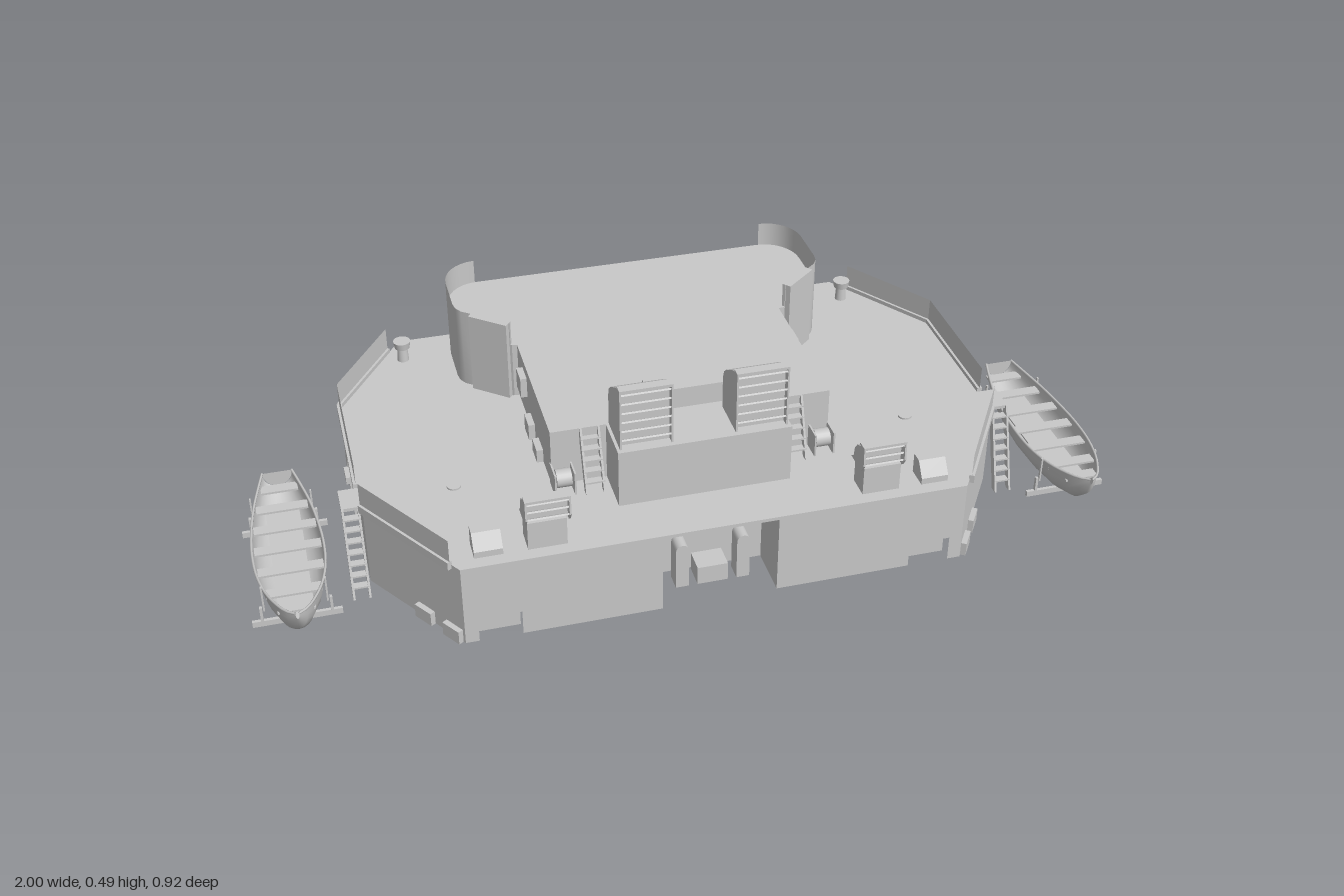
import * as THREE from 'three';

const grey = new THREE.MeshStandardMaterial({ color: 0xc8c8c8, side: THREE.DoubleSide });
grey.name = 'ship grey';

export function createModel() {
  const root = new THREE.Group();
  root.name = 'superstructure';

  const add = (name, geo, parent = root) => {
    const m = new THREE.Mesh(geo, grey);
    m.name = name;
    parent.add(m);
    return m;
  };
  // Box from its limits
  const box = (name, x0, x1, y0, y1, z0, z1, parent = root) => add(name,
    new THREE.BoxGeometry(x1 - x0, y1 - y0, z1 - z0).translate((x0 + x1) / 2, (y0 + y1) / 2, (z0 + z1) / 2), parent);
  // Upright plate between two plan points
  const plate = (name, [x0, z0], [x1, z1], y0, y1, t, parent) => {
    const m = add(name, new THREE.BoxGeometry(Math.hypot(x1 - x0, z1 - z0), y1 - y0, t), parent);
    m.position.set((x0 + x1) / 2, (y0 + y1) / 2, (z0 + z1) / 2);
    m.rotation.y = -Math.atan2(z1 - z0, x1 - x0);
    return m;
  };
  // Thin upright wall along a plan path, sharp or smooth at its corners
  const wall = (name, pts, y0, y1, parent = root, smooth = false) => {
    const indexed = new THREE.BufferGeometry(), idx = [];
    indexed.setAttribute('position', new THREE.Float32BufferAttribute(pts.flatMap(([x, z]) => [x, y0, z, x, y1, z]), 3));
    for (let i = 0; i + 1 < pts.length; i++) idx.push(2 * i, 2 * i + 1, 2 * i + 2, 2 * i + 2, 2 * i + 1, 2 * i + 3);
    indexed.setIndex(idx);
    const geo = smooth ? indexed : indexed.toNonIndexed();
    geo.computeVertexNormals();
    return add(name, geo, parent);
  };
  // Plan outline (x, z) raised from y0 to y1
  const slab = (name, pts, y0, y1) => {
    const s = new THREE.Shape(pts.map(([x, z]) => new THREE.Vector2(x, -z)));
    return add(name, new THREE.ExtrudeGeometry(s, { depth: y1 - y0, bevelEnabled: false })
      .rotateX(-Math.PI / 2).translate(0, y0, 0));
  };
  // Side profile (z, y) extruded between x0 and x1
  const profile = (name, pts, x0, x1, parent) => {
    const s = new THREE.Shape(pts.map(([z, y]) => new THREE.Vector2(-z, y)));
    return add(name, new THREE.ExtrudeGeometry(s, { depth: x1 - x0, bevelEnabled: false })
      .rotateY(Math.PI / 2).translate(x0, 0, 0), parent);
  };
  const cyl = (name, r0, r1, h, x, y, z, parent) =>
    add(name, new THREE.CylinderGeometry(r0, r1, h, 20).translate(x, y + h / 2, z), parent);

  // Inclined ladder leaning back from (z0, y0) to (z1, y1)
  const ladder = (name, x0, x1, z0, y0, z1, y1, parent) => {
    const g = new THREE.Group();
    g.name = name;
    parent.add(g);
    for (const x of [x0, x1 - 0.005])
      profile('ladderRail', [[z0 + 0.009, y0], [z0 - 0.009, y0], [z1 - 0.009, y1], [z1 + 0.009, y1]], x, x + 0.005, g);
    const n = Math.round((y1 - y0) / 0.024);
    for (let i = 1; i < n; i++) {
      const y = y0 + (y1 - y0) * i / n, z = z0 + (z1 - z0) * i / n;
      box('ladderStep', x0, x1, y - 0.002, y + 0.002, z - 0.009, z + 0.009, g);
    }
  };
  // Tilted slats across a front opening, showing their undersides
  const louvers = (x0, x1, y0, y1, z, n, parent) => {
    for (let i = 0; i < n; i++) {
      const m = add('louver', new THREE.BoxGeometry(x1 - x0, 0.004, 0.02), parent);
      m.position.set((x0 + x1) / 2, y0 + (y1 - y0) * (i + 0.5) / n, z);
      m.rotation.x = -0.6;
    }
  };

  // Main deck and open-bottomed lower house
  const half = [[0.565, -0.46], [0.735, -0.205], [0.735, 0.2], [0.565, 0.46]];
  const outline = [...half, ...half.map(([x, z]) => [-x, z]).reverse()];
  slab('mainDeck', outline, 0.192, 0.2);
  wall('backWall', [[-0.565, -0.46], [0.565, -0.46]], 0, 0.192);
  wall('recessBack', [[-0.13, 0.34], [0.13, 0.34]], 0, 0.192);
  // Inner bulkheads and floor beams
  wall('bulkhead', [[-0.68, -0.28], [0.68, -0.28]], 0, 0.192);
  wall('bulkhead', [[-0.4, -0.21], [0.4, -0.21]], 0, 0.192);
  for (const z of [-0.2, -0.1]) box('floorBeam', -0.73, 0.73, 0, 0.05, z - 0.004, z + 0.004);
  // Hatch, locker and vents in the front recess
  box('recessHatch', 0, 0.03, 0.105, 0.15, 0.342, 0.352);
  box('recessLocker', -0.035, 0.035, 0, 0.045, 0.344, 0.4);
  for (const x of [-0.07, 0.07]) {
    box('recessVent', x - 0.015, x + 0.015, 0, 0.1, 0.36, 0.4);
    add('ventCap', new THREE.CylinderGeometry(0.015, 0.015, 0.04, 16).rotateX(Math.PI / 2).translate(x, 0.1, 0.38));
  }

  // Upper house inside a rear bulwark with rounded corners
  const arc = [];
  for (let i = 0; i <= 8; i++) {
    const a = i / 8 * Math.PI / 2;
    arc.push([0.365 + 0.083 * Math.sin(a), -0.37 - 0.09 * Math.cos(a)]);
  }
  const bulwark = [...arc, [0.448, -0.27], [0.445, -0.25], [0.435, -0.232], [0.41, -0.212], [0.335, -0.15]];
  const house = [...bulwark.map(([x, z]) => [x - 0.003, z]), [0.32, -0.148], [0.32, 0.22]];
  slab('upperHouse', [...house, ...house.map(([x, z]) => [-x, z]).reverse()], 0.2, 0.34);
  box('ventBase', -0.195, 0.195, 0.2, 0.34, 0.21, 0.333);
  box('tableBase', -0.075, 0.075, 0.34, 0.388, 0.16, 0.198);
  box('tableTop', -0.095, 0.095, 0.388, 0.395, 0.15, 0.205);

  // Lifeboat hull stations: z, half width, rim height, keel height
  const stations = [[-0.115, 0.034, 0.108, 0.07], [-0.07, 0.046, 0.104, 0.048], [0, 0.062, 0.1, 0.028],
    [0.08, 0.073, 0.098, 0.021], [0.16, 0.078, 0.098, 0.019], [0.24, 0.074, 0.099, 0.018], [0.31, 0.059, 0.102, 0.019],
    [0.36, 0.039, 0.107, 0.032], [0.39, 0.022, 0.111, 0.06], [0.408, 0.004, 0.115, 0.1]];
  const lifeboat = (parent) => {
    const g = new THREE.Group();
    g.name = 'lifeboat';
    g.position.x = 0.903;
    parent.add(g);
    const pos = [], idx = [], n = 12;
    stations.forEach(([z, w, top, keel], s) => {
      for (let i = 0; i <= n; i++) {
        const a = i / n * Math.PI;
        pos.push(w * Math.cos(a), top - (top - keel) * Math.pow(Math.sin(a), 0.8), z);
        if (s && i) {
          const k = s * (n + 1) + i, p = k - n - 1;
          idx.push(p - 1, p, k, p - 1, k, k - 1);
        }
      }
    });
    const geo = new THREE.BufferGeometry();
    geo.setAttribute('position', new THREE.Float32BufferAttribute(pos, 3));
    geo.setIndex(idx);
    geo.computeVertexNormals();
    add('boatHull', geo, g);
    for (const s of [-1, 1]) {
      const rim = new THREE.CatmullRomCurve3(stations.map(([z, w, top]) => new THREE.Vector3(s * w, top, z)));
      add('boatRim', new THREE.TubeGeometry(rim, 28, 0.003, 6), g);
    }
    const tr = new THREE.Shape();
    tr.absellipse(0, 0, 0.034, 0.038, Math.PI, 2 * Math.PI);
    add('transom', new THREE.ShapeGeometry(tr).translate(0, 0.108, -0.115), g);
    for (const [z, w] of [[-0.08, 0.042], [-0.005, 0.058], [0.07, 0.069], [0.145, 0.073], [0.22, 0.071], [0.295, 0.059], [0.35, 0.04]])
      box('bench', -w, w, 0.083, 0.088, z - 0.014, z + 0.014, g);
    box('boatFloor', -0.038, 0.038, 0.05, 0.054, -0.03, 0.31, g);
    box('keel', -0.003, 0.003, 0.014, 0.025, 0.04, 0.32, g);
    // Cradle bars, posts and lashings
    for (const z of [-0.03, 0.29]) {
      box('cradleBar', -0.097, 0.097, 0, 0.014, z - 0.004, z + 0.004, g);
      for (const x of [-0.075, 0.075]) box('cradlePost', x - 0.003, x + 0.003, 0.01, 0.05, z - 0.004, z + 0.004, g);
      for (const x of [-0.068, 0.068]) box('lashing', x - 0.002, x + 0.002, 0.04, 0.104, z - 0.003, z + 0.003, g);
    }
  };

  // Everything that comes in pairs
  for (const s of [1, -1]) {
    const side = new THREE.Group();
    side.name = s > 0 ? 'leftSide' : 'rightSide';
    side.scale.x = s;
    root.add(side);

    wall('sideWall', half, 0, 0.192, side);
    wall('frontWall', [[0.565, 0.46], [0.535, 0.46]], 0, 0.192, side);
    wall('frontWall', [[0.535, 0.46], [0.44, 0.46]], 0.06, 0.192, side);
    wall('frontWall', [[0.44, 0.46], [0.13, 0.46], [0.13, 0.34]], 0, 0.192, side);
    wall('nicheBack', [[0.44, 0.43], [0.535, 0.43]], 0, 0.05, side);
    profile('nicheHood', [[0.46, 0.062], [0.428, 0.045], [0.428, 0.062]], 0.44, 0.535, side);

    wall('rearBulwark', bulwark, 0.2, 0.4, side, true);
    plate('bulwarkEnd', [0.415, -0.214], [0.338, -0.15], 0.2, 0.4, 0.022, side);

    // Deck bulwarks with a thicker foot
    const rails = [[[0.583, 0.44], [0.739, 0.195]], [[0.739, 0.12], [0.739, -0.205], [0.597, -0.42]]];
    for (const r of rails) {
      wall('deckBulwark', r, 0.2, 0.265, side);
      for (let i = 0; i + 1 < r.length; i++) plate('bulwarkFoot', r[i], r[i + 1], 0.19, 0.21, 0.012, side);
    }
    // Small lockers along the angled walls
    for (const [t, f] of [[0.1, 1], [0.385, 1], [0.465, -1]]) {
      const x = 0.567 + 0.17 * t, z = f * (0.46 - 0.26 * t), d = 0.014;
      plate('wallLocker', [x - d, z + f * d * 1.5], [x + d, z - f * d * 1.5], 0, 0.033, 0.022, side);
    }
    box('sideDoor', 0.733, 0.74, 0.01, 0.118, -0.18, -0.13, side);
    box('doorBar', 0.733, 0.739, 0.113, 0.118, -0.13, -0.045, side);
    box('sideBox', 0.733, 0.752, 0.1, 0.118, -0.08, -0.035, side);
    box('lamp', 0.735, 0.75, 0.157, 0.178, 0.15, 0.16, side);

    // Boarding platform and ladders
    box('ladderPlatform', 0.73, 0.78, 0.192, 0.2, 0.12, 0.19, side);
    ladder('sideLadder', 0.74, 0.78, 0.25, 0, 0.185, 0.2, side);
    ladder('roofLadder', 0.21, 0.255, 0.268, 0.2, 0.217, 0.34, side);

    // Tall louvered intake on the vent base
    profile('intake', [[0.305, 0.34], [0.305, 0.485], [0.29, 0.48], [0.24, 0.45], [0.225, 0.436], [0.218, 0.415], [0.218, 0.34]], 0.07, 0.188, side);
    for (const x of [0.07, 0.184]) box('intakeSide', x, x + 0.004, 0.34, 0.488, 0.3, 0.322, side);
    box('intakeBrow', 0.07, 0.188, 0.483, 0.489, 0.3, 0.322, side);
    louvers(0.074, 0.184, 0.345, 0.483, 0.312, 6, side);

    // Deck cowl with a forward mouth
    box('cowlBase', 0.33, 0.415, 0.2, 0.268, 0.375, 0.43, side);
    profile('cowlHood', [[0.422, 0.265], [0.422, 0.325], [0.4, 0.315], [0.387, 0.298], [0.383, 0.275], [0.37, 0.265]], 0.322, 0.42, side);
    for (const x of [0.322, 0.416])
      profile('cowlCheek', [[0.42, 0.265], [0.42, 0.325], [0.441, 0.33], [0.444, 0.285], [0.43, 0.265]], x, x + 0.004, side);
    box('cowlBrow', 0.322, 0.42, 0.325, 0.331, 0.415, 0.441, side);
    louvers(0.326, 0.416, 0.268, 0.325, 0.43, 3, side);

    // Deck fittings
    profile('slopedLocker', [[0.43, 0.2], [0.43, 0.215], [0.405, 0.248], [0.378, 0.248], [0.378, 0.2]], 0.468, 0.53, side);
    add('reel', new THREE.CylinderGeometry(0.021, 0.021, 0.034, 20).rotateZ(Math.PI / 2).translate(0.298, 0.23, 0.24), side);
    for (const x of [0.274, 0.318]) box('reelStand', x, x + 0.004, 0.2, 0.255, 0.212, 0.268, side);
    cyl('ventStem', 0.012, 0.014, 0.035, 0.565, 0.2, -0.375, side);
    cyl('ventHead', 0.021, 0.018, 0.018, 0.565, 0.235, -0.375, side);
    cyl('deckHatch', 0.016, 0.016, 0.004, 0.53, 0.2, 0.17, side);
    [[-0.065, 0.265, 0.315], [0.015, 0.2, 0.24], [0.105, 0.2, 0.232]].forEach(([z, y0, y1]) =>
      box('houseLocker', 0.315, 0.335, y0, y1, z - 0.025, z + 0.025, side));

    lifeboat(side);
  }
  return root;
}
